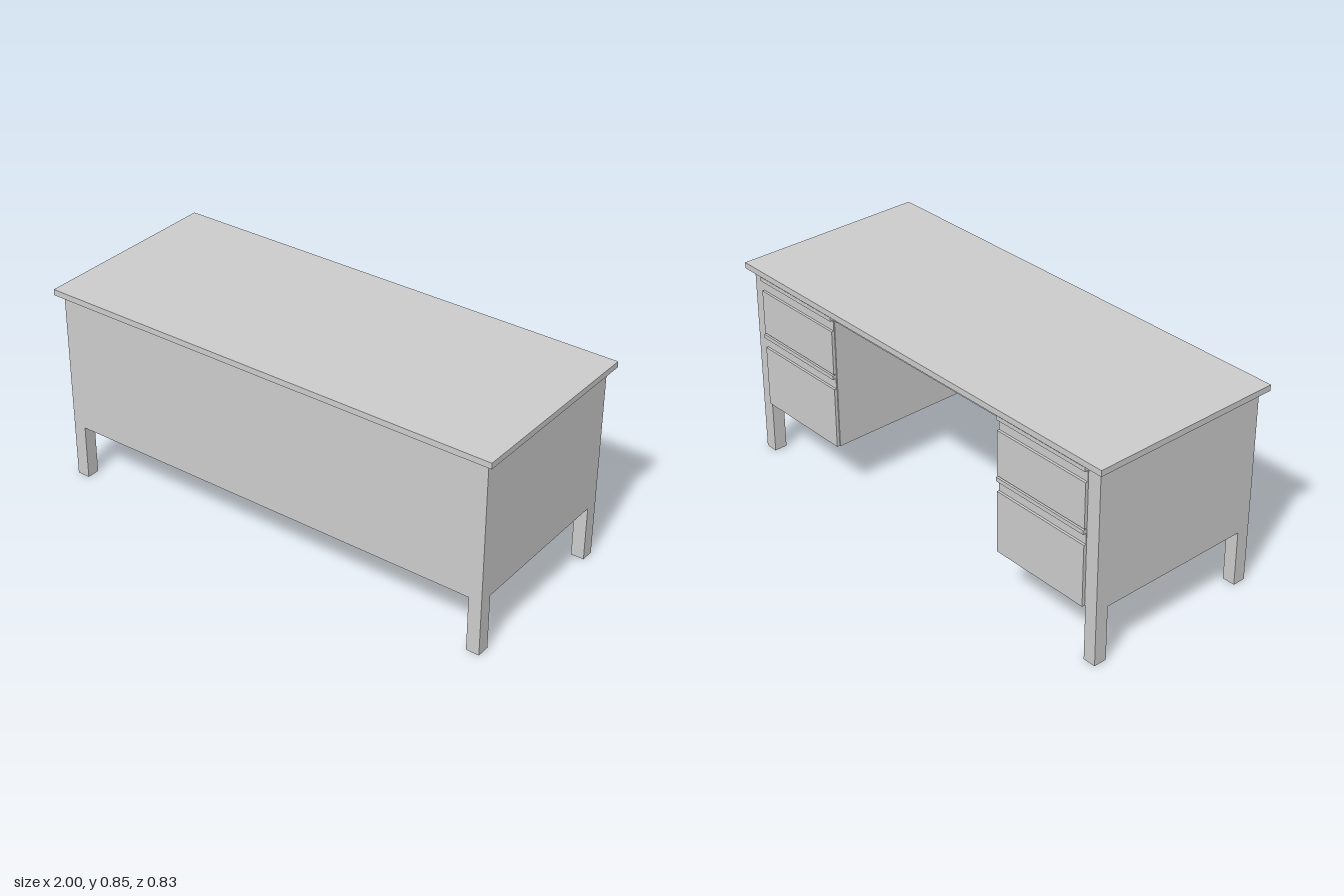
import * as THREE from 'three';

const material = new THREE.MeshStandardMaterial({ color: 0xcccccc, flatShading: true });

// Box given by its min and max on each axis
function box(name, [x0, x1], [y0, y1], [z0, z1]) {
  const mesh = new THREE.Mesh(new THREE.BoxGeometry(x1 - x0, y1 - y0, z1 - z0), material);
  mesh.position.set((x0 + x1) / 2, (y0 + y1) / 2, (z0 + z1) / 2);
  mesh.name = name;
  return mesh;
}

const HALF_W = 0.972, HALF_D = 0.389;   // carcass half width and half depth
const BOTTOM = 0.235, TOP = 0.822;      // carcass underside and top
const KNEE = 0.466, KNEE_Z = 0.334;     // knee hole half width and inner panel
const LEG = 0.055;

// U-shaped carcass: two pedestals joined by the front panel, open at the back
function createCarcass() {
  const plan = [
    [-HALF_W, -HALF_D], [HALF_W, -HALF_D], [HALF_W, HALF_D], [KNEE, HALF_D],
    [KNEE, -KNEE_Z], [-KNEE, -KNEE_Z], [-KNEE, HALF_D], [-HALF_W, HALF_D],
  ];
  const shape = new THREE.Shape(plan.map(([x, y]) => new THREE.Vector2(x, y)));
  const geometry = new THREE.ExtrudeGeometry(shape, { depth: TOP - BOTTOM, bevelEnabled: false });
  geometry.rotateX(-Math.PI / 2);
  const mesh = new THREE.Mesh(geometry, material);
  mesh.position.y = BOTTOM;
  mesh.name = 'carcass';
  return mesh;
}

// Drawer: thin backing plate, raised front panel and a projecting pull rail above it
function createDrawer(xRange, bottom, panelTop, pullBottom, pullTop) {
  const drawer = new THREE.Group();
  drawer.name = 'drawer';
  drawer.add(
    box('drawerPlate', xRange, [bottom, pullTop], [-0.392, -0.38]),
    box('drawerFront', xRange, [bottom, panelTop], [-0.402, -0.385]),
    box('drawerPull', xRange, [pullBottom, pullTop], [-0.407, -0.385]),
  );
  return drawer;
}

export function createModel() {
  const desk = new THREE.Group();
  desk.name = 'desk';

  desk.add(box('tabletop', [-1, 1], [TOP, 0.847], [-0.416, 0.416]));
  desk.add(createCarcass());
  desk.add(box('kneeHoleCeiling', [-KNEE, KNEE], [0.793, TOP], [-HALF_D, KNEE_Z]));

  for (const side of [-1, 1]) {
    // Legs under the outer corners
    for (const end of [-1, 1]) {
      const xs = [side * HALF_W, side * (HALF_W - LEG)].sort((a, b) => a - b);
      const zs = [end * HALF_D, end * (HALF_D - LEG)].sort((a, b) => a - b);
      desk.add(box('leg', xs, [0, BOTTOM], zs));
    }
    // Two drawers in each pedestal
    const xRange = [side * 0.47, side * 0.914].sort((a, b) => a - b);
    desk.add(createDrawer(xRange, BOTTOM, 0.495, 0.541, 0.558));
    desk.add(createDrawer(xRange, 0.562, 0.75, 0.796, 0.813));
  }
  return desk;
}
